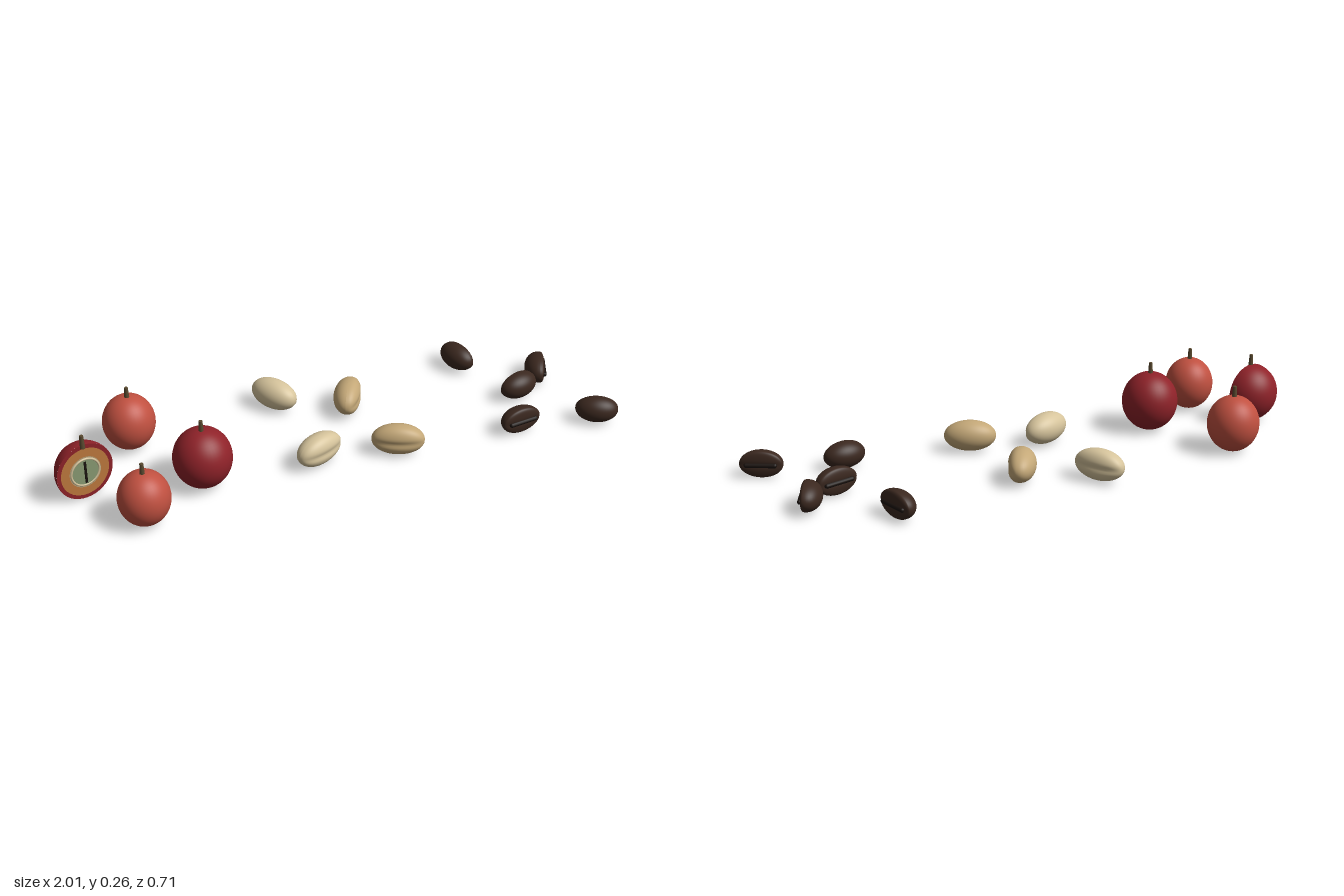
import * as THREE from 'three';

const paint = (color, side = THREE.FrontSide) => new THREE.MeshStandardMaterial({ color, side });
const RED = 0x8f2229, ORANGE = 0xc05040, CREAM = 0xd6c49c, TAN = 0xc4a878;
const skin = { [RED]: paint(RED), [ORANGE]: paint(ORANGE), [CREAM]: paint(CREAM), [TAN]: paint(TAN) };
const stemMat = paint(0x5a4a30), roastMat = paint(0x3b281f), creaseMat = paint(0x1a120e);

function add(parent, name, geometry, material, x = 0, y = 0, z = 0) {
  const mesh = new THREE.Mesh(geometry, material);
  mesh.name = name;
  mesh.position.set(x, y, z);
  parent.add(mesh);
  return mesh;
}

// Fruit body, slightly taller than wide, with a short tapered stem
function cherry(name, x, z, r, ry, color, half = false) {
  const g = new THREE.Group();
  g.name = name;
  g.position.set(x, 0.005 + ry, z);
  const body = new THREE.SphereGeometry(r, 40, 28, half ? Math.PI : 0, half ? Math.PI : Math.PI * 2);
  add(g, 'skin', body.scale(1, ry / r, 1), skin[color]);
  add(g, 'stem', new THREE.CylinderGeometry(0.0065, 0.0095, 0.05, 10), stemMat, 0, ry + 0.013, 0);
  return g;
}

// Cut fruit showing flesh, husk ring and seed on its flat face
function halfCherry(name, x, z, r, ry) {
  const g = cherry(name, x, z, r, ry, RED, true);
  g.rotation.y = 0.26;
  const disc = (part, radius, color, depth) =>
    add(g, part, new THREE.CircleGeometry(radius, 40).scale(1, ry / r, 1), paint(color), 0, 0, depth);
  disc('cutRim', r, RED, 0);
  disc('flesh', r * 0.86, 0xc07a3e, 0.0015);
  disc('innerFlesh', r * 0.56, 0xb9a27a, 0.003);
  disc('seed', r * 0.46, 0x8a9c74, 0.0045);
  add(g, 'huskRing', new THREE.TorusGeometry(r * 0.5, 0.004, 8, 40), paint(CREAM), 0, 0, 0.003);
  add(g, 'seedCrease', new THREE.BoxGeometry(0.008, 0.084, 0.006), creaseMat, 0, 0, 0.005);
  return g;
}

// Ellipsoid with a rounded back (-z) and a flattened, grooved face (+z)
function beanGeometry(a, b, back, face, power, groove) {
  const geo = new THREE.SphereGeometry(1, 40, 28);
  const p = geo.attributes.position;
  for (let i = 0; i < p.count; i++) {
    const x = p.getX(i), y = p.getY(i), z = p.getZ(i);
    const dent = groove * Math.exp(-((y / 0.2) ** 2)) * Math.max(0, z);
    p.setXYZ(i, x * a, y * b, z > 0 ? face * Math.pow(z, power) - dent : z * back);
  }
  geo.translate(0, 0, (back - face) / 2);
  geo.computeVertexNormals();
  return geo;
}

export function createModel() {
  const root = new THREE.Group();
  root.name = 'coffeeStages';

  // Fruits
  const fruits = new THREE.Group();
  fruits.name = 'cherries';
  fruits.add(
    cherry('rearCherry', -0.695, -0.183, 0.094, 0.103, ORANGE),
    cherry('ripeCherry', -0.507, 0.117, 0.103, 0.11, RED),
    cherry('frontCherry', -0.743, 0.26, 0.09, 0.099, ORANGE),
    halfCherry('cutCherry', -0.9, 0.068, 0.103, 0.108));
  root.add(fruits);

  // Dried beans: x, z, facing in degrees, colour
  const dried = new THREE.Group();
  dried.name = 'driedBeans';
  const driedGeo = beanGeometry(0.094, 0.056, 0.054, 0.046, 0.8, 0.006);
  [[-0.145, -0.25, 127, CREAM], [0.107, -0.155, 64, TAN],
    [-0.097, 0.125, 26, CREAM], [0.187, 0.157, -21, TAN]].forEach(([x, z, deg, color]) => {
    add(dried, 'driedBean', driedGeo, skin[color], x, 0.063, z).rotation.y = THREE.MathUtils.degToRad(deg);
  });
  root.add(dried);

  // Roasted beans, each with a dark raised crease on the flat face
  const roasted = new THREE.Group();
  roasted.name = 'roastedBeans';
  const roastGeo = beanGeometry(0.077, 0.049, 0.052, 0.022, 0.5, 0.003);
  const creaseGeo = new THREE.CapsuleGeometry(0.0085, 0.1, 6, 12).rotateZ(Math.PI / 2);
  [[0.583, -0.283, 111], [0.84, -0.123, 69], [0.737, -0.02, -162],
    [0.645, 0.163, 10], [0.93, 0.217, 156]].forEach(([x, z, deg]) => {
    const bean = new THREE.Group();
    bean.name = 'roastedBean';
    bean.position.set(x, 0.055, z);
    bean.rotation.y = THREE.MathUtils.degToRad(deg);
    add(bean, 'beanBody', roastGeo, roastMat);
    add(bean, 'crease', creaseGeo, creaseMat, 0, 0, 0.034);
    roasted.add(bean);
  });
  root.add(roasted);

  return root;
}
